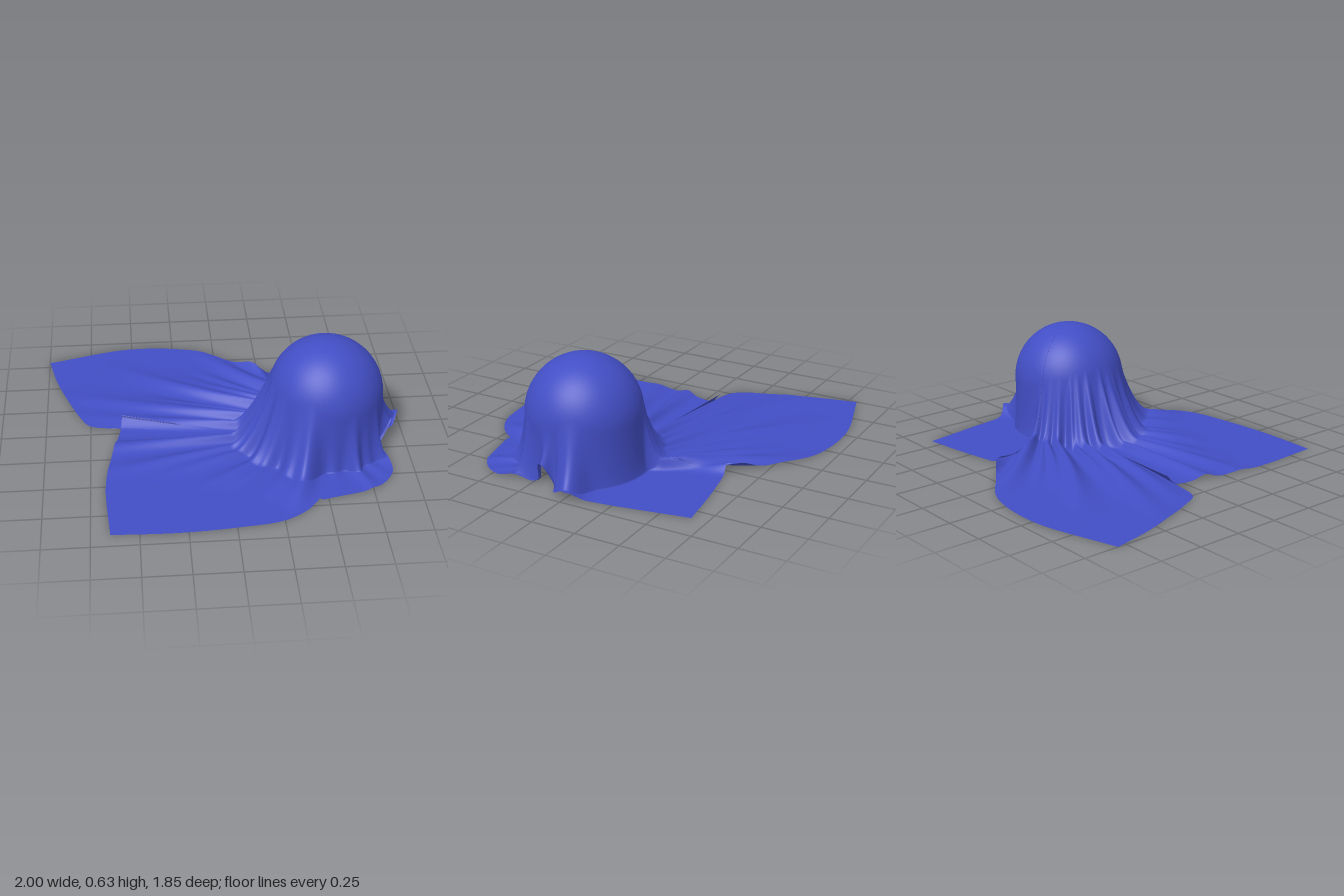
import * as THREE from 'three';

const CX = 0.55, CZ = 0.13, CY = 0.33, RAD = 0.315, BASE = 0.015;
const RAD2DEG = 180 / Math.PI;
const { smoothstep, clamp, lerp } = THREE.MathUtils;

// Hem of the cloth seen from above: smooth runs of [x, z], each starting at a sharp corner
const HEM = [
  [[1, -0.03], [0.935, -0.1], [0.9, -0.28], [0.83, -0.66]],
  [[0.83, -0.66], [0.54, -0.62], [0.25, -0.565]],
  [[0.25, -0.565], [0.25, -0.6], [0.05, -0.76], [-0.13, -0.88], [-0.5, -0.925], [-1, -0.8]],
  [[-1, -0.8], [-0.95, -0.57], [-0.88, -0.35], [-0.77, -0.1], [-0.72, -0.07], [-0.58, -0.05]],
  [[-0.58, -0.05], [-0.57, -0.1], [-0.6, 0.06], [-0.64, 0.25], [-0.67, 0.5], [-0.65, 0.91]],
  [[-0.65, 0.91], [-0.3, 0.92], [0, 0.9], [0.25, 0.86], [0.38, 0.78], [0.46, 0.68]],
  [[0.475, 0.7], [0.78, 0.61], [0.88, 0.48], [0.87, 0.34], [0.86, 0.22]],
  [[0.86, 0.22], [0.93, 0.17], [0.89, 0.11], [0.95, 0.07], [1, -0.03]],
];

// Pleats round the ball: degrees, width, push at the foot
const pleats = [[-20, 9, 0.1], [6, 5, 0.05], [36, 8, 0.07], [53, 5, 0.03], [68, 5, 0.07], [88, 5, 0.02], [111, 7, 0.15], [125, 6, 0.08]]
  .map(([deg, width, push]) => ({ deg, width, push, height: push * 0.3, reach: 0.25, twist: 0 }));
// long pleats trailing away to the right
for (let i = 0; i < 5; i++) {
  pleats.push({ deg: 140 + i * 10 + Math.sin(i * 4) * 2, width: 4.5 - i * 0.5, push: 0.06 + i * 0.004, height: 0.02 + i * 0.006, reach: 0.35 + i * i * 0.075, twist: 4 });
}
// uneven fan of pleats swirling off to the back
for (let i = 0; i < 8; i++) {
  const wobble = Math.sin(i * 2.4);
  pleats.push({
    deg: -167 + i * 7 + wobble * 1.5, width: 2.9 + wobble * 0.7, push: 0.085 - i * 0.007, height: 0.045 + wobble * 0.012,
    reach: 1.15 - i * 0.07 + wobble * 0.2, twist: 16 - Math.abs(i - 4) * 2.5,
  });
}

function bump(a, centre, width) {
  const d = ((a - centre + 540) % 360) - 180;
  return Math.exp(-(d * d) / (width * width));
}

// Distance from the ball's axis at which the cloth meets the floor
function footRadius(a) {
  let r = 0.324 + 0.15 * bump(a, -178, 50) + 0.03 * bump(a, -5, 25);
  for (const p of pleats) r += p.push * bump(a, p.deg + p.twist, p.width * 1.3);
  return r;
}

// Height of the pleats where the cloth lies on the floor
function pleatHeight(a, r, foot) {
  let h = 0;
  for (const p of pleats) {
    const swirl = p.twist * Math.exp(-Math.max(0, r - 0.4) / 0.25);
    h += p.height * bump(a, p.deg + swirl, p.width) * (1 - smoothstep(r - foot, 0, p.reach));
  }
  return Math.min(h, 0.065);
}

// Places where the hem stands clear of the floor
function hemLift(a, R) {
  const side = 0.13 * bump(a, 6, 8) + 0.03 * bump(a, -18, 8);
  const notch = 0.05 * bump(a, -113, 3) + 0.05 * bump(a, -168, 2) * (1 - smoothstep(R, 1.15, 1.2));
  return side + notch;
}

// One strip of cloth from the top of the ball down to the hem: [radius, height] pairs
function strip(a, R) {
  const hemY = hemLift(a, R);
  const foot = Math.min(footRadius(a), R - 0.015);
  const phi = clamp(92 - (foot - 0.32) * 105, 64, 92) / RAD2DEG;
  const out = [];
  for (let i = 1; i <= 26; i++) {
    const p = (phi * i) / 26;
    out.push([RAD * Math.sin(p), CY + RAD * Math.cos(p)]);
  }
  // hanging wall: a curve tangent to the ball, tighter towards the trailing side
  const [r0, y0] = out[25];
  const lift = hemY * (1 - clamp((R - foot) / 0.2, 0, 1));
  const footY = BASE + lift + pleatHeight(a, foot, foot);
  const drop = lerp(0.75, 1, bump(a, 180, 70));
  const yc = lerp(y0, 0.04 + lift, drop);
  const rc = Math.min(r0 + (y0 - yc) / Math.tan(phi), foot);
  for (let i = 1; i <= 24; i++) {
    const t = i / 24, u = 1 - t;
    out.push([u * u * r0 + 2 * u * t * rc + t * t * foot, u * u * y0 + 2 * u * t * yc + t * t * footY]);
  }
  // part lying on the floor
  for (let i = 1; i <= 40; i++) {
    const s = i / 40, r = lerp(foot, R, s);
    out.push([r, BASE + lerp(lift, hemY, s * s) + pleatHeight(a, r, foot)]);
  }
  return out;
}

function clothGeometry() {
  const rim = [];
  for (const run of HEM) {
    const curve = new THREE.CatmullRomCurve3(run.map(([x, z]) => new THREE.Vector3(x, 0, z)), false, 'centripetal');
    const n = Math.ceil(curve.getLength() / 0.0125);
    rim.push(...curve.getSpacedPoints(n).slice(0, n));
  }
  const pos = [CX, CY + RAD, CZ], index = [];
  const rows = 90;
  rim.forEach((p, i) => {
    const dx = p.x - CX, dz = p.z - CZ, R = Math.hypot(dx, dz);
    for (const [r, y] of strip(Math.atan2(dz, dx) * RAD2DEG, R)) {
      pos.push(CX + (dx / R) * r, y, CZ + (dz / R) * r);
    }
    const a = 1 + i * rows, b = 1 + ((i + 1) % rim.length) * rows;
    index.push(0, a, b);
    for (let j = 0; j < rows - 1; j++) {
      index.push(a + j, a + j + 1, b + j + 1, a + j, b + j + 1, b + j);
    }
  });
  const geo = new THREE.BufferGeometry();
  geo.setAttribute('position', new THREE.Float32BufferAttribute(pos, 3));
  geo.setIndex(index);
  geo.computeVertexNormals();
  return geo;
}

export function createModel() {
  const group = new THREE.Group();
  group.name = 'drapedCloth';
  const material = new THREE.MeshStandardMaterial({ color: 0x424ec4, side: THREE.DoubleSide });
  const cloth = new THREE.Mesh(clothGeometry(), material);
  cloth.name = 'cloth';
  group.add(cloth);
  return group;
}
